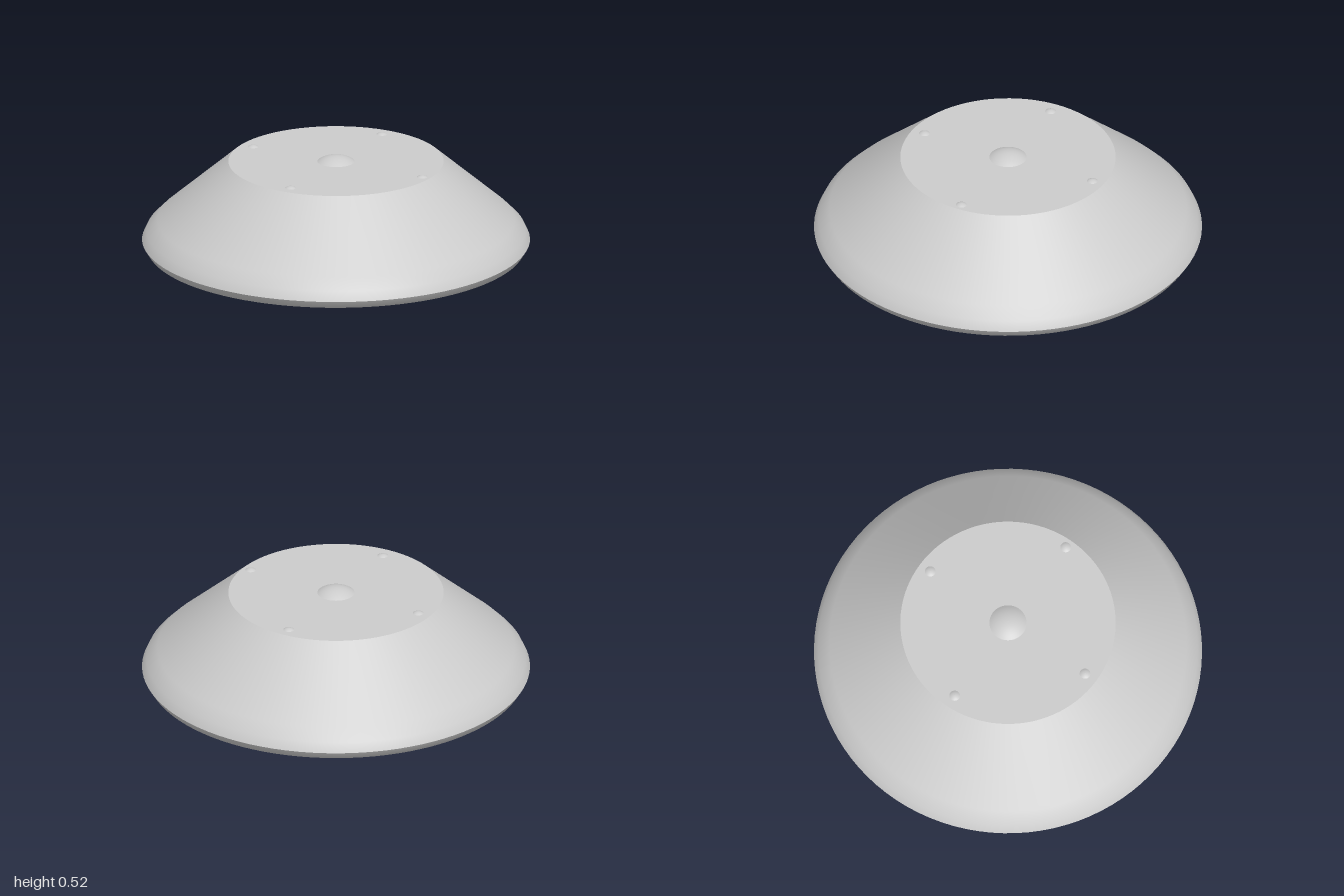
import * as THREE from 'three';

const material = new THREE.MeshStandardMaterial({ color: 0xcccccc });

// Revolve a profile, listed from the bottom centre outwards and up
function lathe(name, profile, segments = 96) {
  const points = profile.map(([r, y]) => new THREE.Vector2(r, y));
  const mesh = new THREE.Mesh(new THREE.LatheGeometry(points, segments), material);
  mesh.name = name;
  return mesh;
}

// Shallow spherical cap, rim at y = 0
function cap(name, radius, height, rings, segments) {
  const sphere = (radius * radius + height * height) / (2 * height);
  const sweep = Math.asin(radius / sphere);
  const profile = [];
  for (let i = 0; i <= rings; i++) {
    const a = sweep * (1 - i / rings);
    profile.push([sphere * Math.sin(a), sphere * (Math.cos(a) - 1) + height]);
  }
  return lathe(name, profile, segments);
}

export function createModel() {
  const group = new THREE.Group();
  group.name = 'lowDomedBody';
  const topY = 0.49;

  // Body: rounded underside, sloping side and flat top meet at sharp edges
  group.add(
    lathe('underside', [[0, 0], [0.84, 0], [0.92, 0.007], [0.975, 0.025], [1, 0.065]]),
    lathe('slopingSide', [[1, 0.065], [0.977, 0.115], [0.92, 0.173], [0.555, topY]]),
    lathe('topPlate', [[0.555, topY], [0, topY]])
  );

  // Central button
  const button = cap('centreButton', 0.096, 0.03, 8, 48);
  button.position.y = topY;
  group.add(button);

  // Four small studs around the top plate
  const studs = [[0.51, 0.005], [-0.485, 0.005], [0, 0.485], [0, -0.49]];
  studs.forEach(([x, z], i) => {
    const stud = cap(`stud${i + 1}`, 0.028, 0.009, 4, 24);
    stud.position.set(x, topY, z);
    group.add(stud);
  });

  return group;
}
